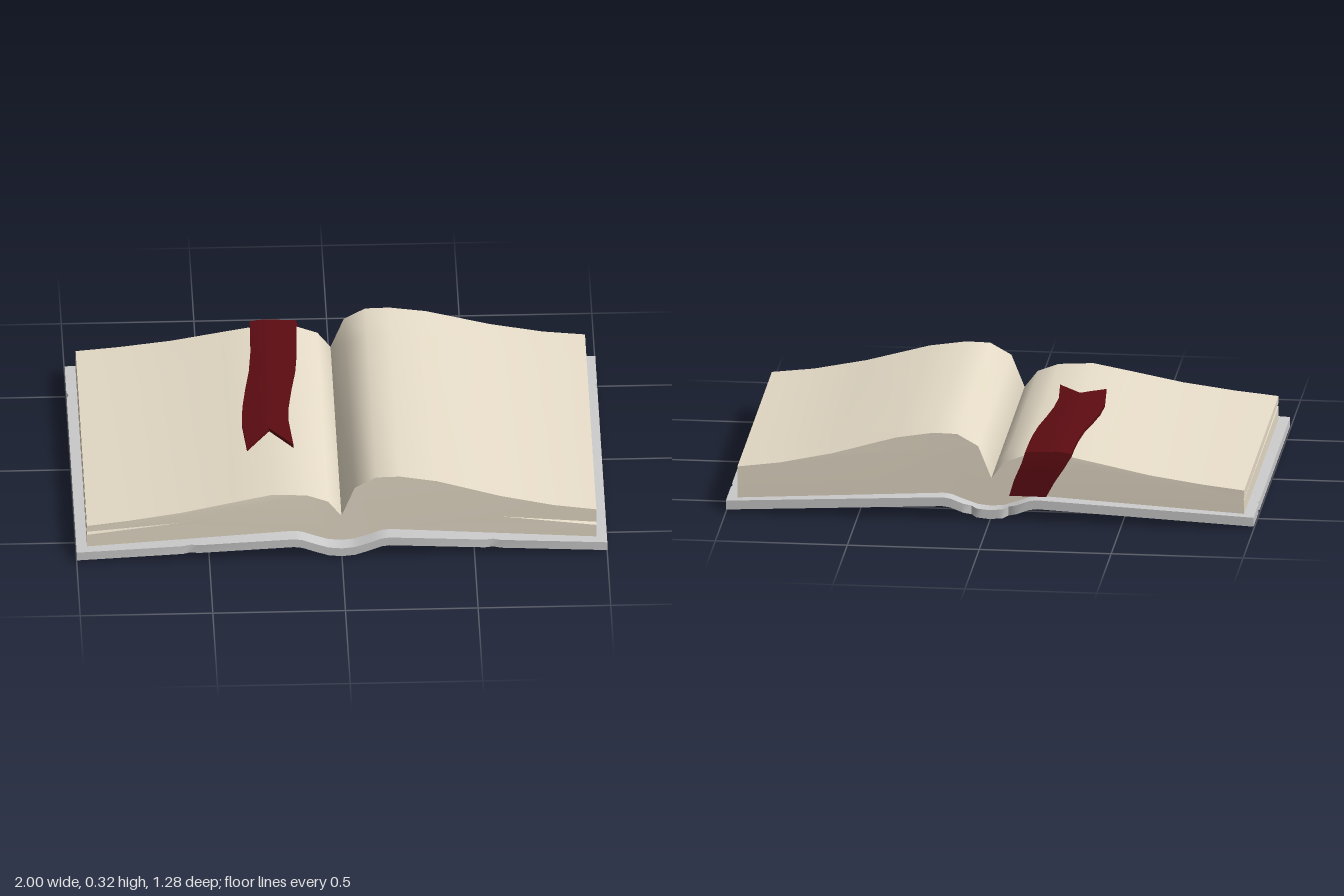
import * as THREE from 'three';
import { toCreasedNormals } from 'three/addons/utils/BufferGeometryUtils.js';

const material = (color, side = THREE.FrontSide) => new THREE.MeshStandardMaterial({ color, side });
const coverMat = material(0xcccccc);
const paperMat = material(0xe6dcc8);
const ribbonMat = material(0x5c0c12, THREE.DoubleSide);
const trimMat = material(0x9a6c30);
const ornamentMat = material(0xb98a3c);

// Profiles as [distance from the spine, height]
const BOTTOM = [[0, 0.007], [0.05, 0.012], [0.1, 0.029], [0.15, 0.048], [0.18, 0.052], [1, 0.011]];
const LEFT_TOP = [[0, 0.15], [0.05, 0.215], [0.13, 0.245], [0.26, 0.252], [0.4, 0.225], [0.6, 0.185], [0.8, 0.157], [0.96, 0.14]];
const RIGHT_TOP = [[0, 0.15], [0.05, 0.275], [0.13, 0.32], [0.22, 0.322], [0.36, 0.3], [0.6, 0.232], [0.8, 0.19], [0.96, 0.17]];
const COVER = 0.035;

function sample(profile, x) {
  const d = Math.abs(x);
  for (let i = 1; i < profile.length; i++) {
    const [x0, y0] = profile[i - 1], [x1, y1] = profile[i];
    if (d <= x1) return y0 + (y1 - y0) * (d - x0) / (x1 - x0);
  }
  return profile[profile.length - 1][1];
}

function addMesh(parent, name, geometry, mat, crease = 0.7) {
  const mesh = new THREE.Mesh(toCreasedNormals(geometry, crease), mat);
  mesh.name = name;
  parent.add(mesh);
  return mesh;
}

// A box whose grid vertices are moved by rule(column, top, row) => [x, y, z]
function warpedBox(columns, rows, rule) {
  const g = new THREE.BoxGeometry(1, 1, 1, columns, 1, rows);
  const p = g.attributes.position;
  for (let i = 0; i < p.count; i++) {
    const c = Math.round((p.getX(i) + 0.5) * columns);
    const r = Math.round((p.getZ(i) + 0.5) * rows);
    p.setXYZ(i, ...rule(c, p.getY(i) > 0, r));
  }
  return g;
}

// A strip that follows the underside of the cover
function underStrip(x0, x1, z0, z1, depth) {
  const inner = BOTTOM.flatMap(([x]) => [x, -x]).filter((x) => x > x0 && x < x1);
  const xs = [...new Set([x0, ...inner, x1])].sort((a, b) => a - b);
  return warpedBox(xs.length - 1, 1, (c, top, r) =>
    [xs[c], sample(BOTTOM, xs[c]) + (top ? 0.004 : -depth), r ? z1 : z0]);
}

// Bent cover board with small nicks worn into its edges
function coverGeometry() {
  const half = [0, 0.03, 0.05, 0.07, 0.1, 0.11, 0.15, 0.18, 0.54, 0.57, 0.6, 1];
  const xs = [...half.slice(1).reverse().map((x) => -x), ...half];
  const zs = [-0.638, -0.46, -0.44, -0.42, 0.638];
  return warpedBox(xs.length - 1, zs.length - 1, (c, top, r) => {
    let x = xs[c], z = zs[r];
    const d = Math.abs(x);
    const y = sample(BOTTOM, x) + (top ? COVER : 0);
    if (r === 0 && d === 0.07) z += 0.015;
    if (r === zs.length - 1 && d === 0.57) z -= 0.008;
    if (r === 2 && d === 1) x *= 0.993;
    return [x, y, z];
  });
}

// Half of the page block, lofted front to back, with a thin gap in the fore edge
function pagesGeometry(side, topProfile) {
  const section = (open, zSign, zFixed) => {
    const outer = 0.96;
    const gap = open
      ? [[outer, 0.1], [0.6, 0.14], [outer, 0.114]]
      : [[outer, 0.102], [outer - 0.003, 0.1035], [outer, 0.105]];
    const floor = [...BOTTOM.slice(0, -1).map((q) => q[0]), outer].map((x) => [x, sample(BOTTOM, x) + COVER - 0.003]);
    const ring = [...floor, ...gap, ...[...topProfile].reverse()];
    if (side < 0) ring.reverse();
    return ring.map(([x, y]) => {
      const depth = 0.579 + 0.02 * THREE.MathUtils.clamp((x - 0.22) / 0.74, 0, 1);
      return new THREE.Vector3(x * side, y, zFixed ?? zSign * depth);
    });
  };
  const sections = [section(true, 1), section(false, 0, -0.4), section(false, -1)];
  const n = sections[0].length;
  const index = [];
  for (let s = 0; s < 2; s++) {
    for (let i = 0; i < n; i++) {
      const j = (i + 1) % n, a = s * n, b = a + n;
      index.push(a + i, b + i, b + j, a + i, b + j, a + j);
    }
  }
  const cap = (ring) => THREE.ShapeUtils.triangulateShape(ring.map((v) => new THREE.Vector2(v.x, v.y)), []);
  for (const [a, b, c] of cap(sections[0])) index.push(a, b, c);
  for (const [a, b, c] of cap(sections[2])) index.push(2 * n + a, 2 * n + c, 2 * n + b);
  const g = new THREE.BufferGeometry().setFromPoints(sections.flat());
  g.setIndex(index);
  return g;
}

// Ribbon rising behind the pages, lying across the left page, ending in a fishtail
function ribbonGeometry() {
  // [centre x, z, height while hanging behind the pages], bottom end first
  const path = [
    [-0.14, -0.588, 0.09], [-0.165, -0.588, 0.15], [-0.2, -0.588, 0.215], [-0.217, -0.585], [-0.218, -0.5],
    [-0.222, -0.38], [-0.232, -0.26], [-0.25, -0.14], [-0.265, -0.02], [-0.27, 0.09], [-0.257, 0.26],
  ];
  const columns = 6, last = path.length - 1;
  return warpedBox(columns, last, (c, top, r) => {
    const [cx, z, hang] = path[r];
    const u = c / columns * 2 - 1;
    const width = hang === undefined ? 0.175 : 0.14 + 0.03 * r / 2;
    const x = cx + u * width / 2;
    if (hang !== undefined) return [x, hang, z - (top ? 0.014 : 0.002)];
    const tail = r === last ? 0.11 * (1 - Math.abs(u)) : 0;
    const round = r === 3 && top ? 0.011 : 0;
    return [x, sample(LEFT_TOP, x) + (top ? 0.017 : 0.003), z - tail - round];
  });
}

export function createModel() {
  const book = new THREE.Group();
  book.name = 'openBook';

  addMesh(book, 'cover', coverGeometry(), coverMat);
  addMesh(book, 'leftPages', pagesGeometry(1, RIGHT_TOP), paperMat);
  addMesh(book, 'rightPages', pagesGeometry(-1, LEFT_TOP), paperMat);
  addMesh(book, 'ribbonBookmark', ribbonGeometry(), ribbonMat);

  for (const s of [-1, 1]) {
    // Border trim and spine bands under the cover
    const z = s * 0.588, x = s * 0.948, band = s * 0.415;
    addMesh(book, 'longBorder', underStrip(-0.96, 0.96, z - 0.012, z + 0.012, 0.005), trimMat);
    addMesh(book, 'sideBorder', underStrip(x - 0.012, x + 0.012, -0.6, 0.6, 0.005), trimMat);
    addMesh(book, 'spineBand', underStrip(-0.17, 0.17, band - 0.033, band + 0.033, 0.007), trimMat);

    // Corner plates with a raised diamond
    for (const t of [-1, 1]) {
      const cx = s * 0.895, cz = t * 0.535;
      addMesh(book, 'cornerPlate', underStrip(cx - 0.065, cx + 0.065, cz - 0.065, cz + 0.065, 0.006), trimMat);
      const ornament = new THREE.Group();
      ornament.name = 'cornerOrnament';
      ornament.position.set(cx, sample(BOTTOM, cx) - 0.006, cz);
      ornament.rotation.z = -s * 0.05;
      const ring = new THREE.TorusGeometry(0.05, 0.01, 4, 4).rotateX(Math.PI / 2).scale(1, 0.3, 1);
      addMesh(ornament, 'diamondRing', ring, ornamentMat, 0.2);
      addMesh(ornament, 'diamondStud', new THREE.CylinderGeometry(0.022, 0.018, 0.006, 4), ornamentMat, 0.2);
      book.add(ornament);
    }
  }
  return book;
}
